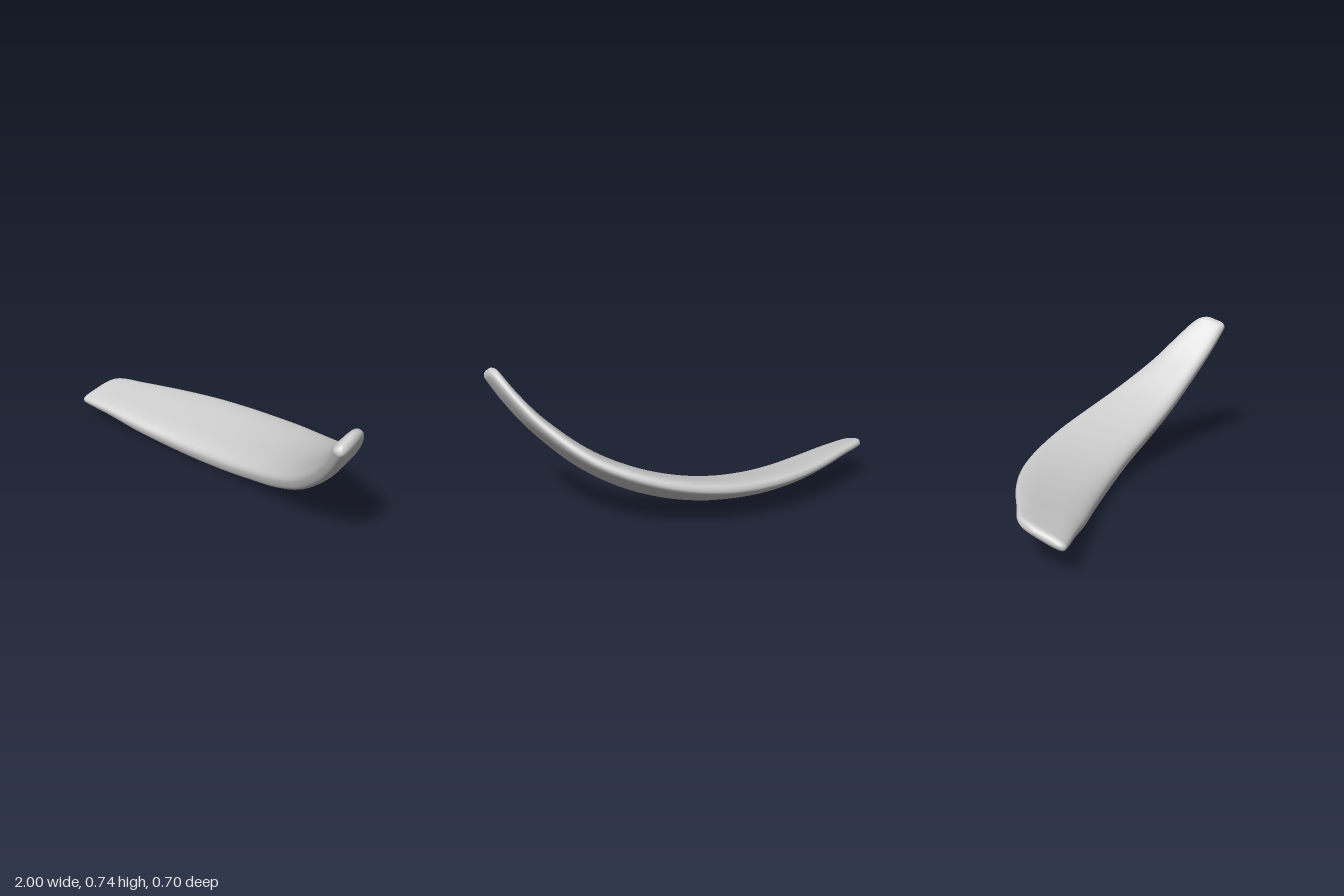
import * as THREE from 'three';

// Edge points [x, y, z] from the right tip to the left tip
const FRONT = [
  [-1, .135, .225], [-.97, .13, .223], [-.8, .107, .187], [-.6, .074, .147], [-.4, .05, .102], [-.2, .044, .07],
  [0, .06, .055], [.2, .1, .06], [.4, .168, .095], [.6, .28, .157], [.8, .455, .243], [.9, .57, .298],
  [.97, .67, .34], [.995, .71, .355],
];
const BACK = [
  [-.985, .192, .05], [-.94, .207, -.01], [-.8, .202, -.09], [-.6, .19, -.2], [-.4, .182, -.285], [-.2, .182, -.335],
  [0, .194, -.353], [.2, .225, -.336], [.4, .276, -.28], [.6, .358, -.182], [.8, .51, -.02], [.9, .627, .082],
  [.96, .715, .165], [.985, .757, .225],
];
// Half thickness along the front and back edges
const FRONT_HALF = [.023, .027, .042, .055, .066, .072, .072, .07, .066, .059, .049, .041, .035, .032];
const BACK_HALF = [.024, .024, .026, .03, .035, .039, .041, .041, .038, .034, .029, .026, .025, .024];

const curve = pts => new THREE.CatmullRomCurve3(pts.map(p => new THREE.Vector3(...p)));

function sample(list, u) {
  const f = u * (list.length - 1), i = Math.min(Math.floor(f), list.length - 2);
  return THREE.MathUtils.lerp(list[i], list[i + 1], f - i);
}

function bladeGeometry(rings = 120, sides = 48, round = .04) {
  const front = curve(FRONT), back = curve(BACK);
  const middle = u => front.getPoint(u).add(back.getPoint(u)).multiplyScalar(.5);
  const ends = [middle(0), middle(1)];
  const pos = [], index = [];
  for (let i = 0; i <= rings; i++) {
    // Rings crowd together at the tips
    const s = i / rings, u = THREE.MathUtils.lerp(s, (1 - Math.cos(Math.PI * s)) / 2, .9);
    const mid = middle(u);
    const chord = front.getPoint(u).sub(back.getPoint(u));
    const tangent = middle(Math.min(1, u + .01)).sub(middle(Math.max(0, u - .01)));
    const normal = chord.clone().cross(tangent).normalize();
    // Rounded tips
    const d = Math.min(1, Math.min(mid.distanceTo(ends[0]), mid.distanceTo(ends[1])) / round);
    const k = Math.sqrt(Math.max(0, 1 - (1 - d) ** 2));
    const half = chord.length() / 2 - round * (1 - k);
    chord.normalize();
    for (let j = 0; j < sides; j++) {
      // Rounded flat section, thicker along the front edge
      const a = j / sides * Math.PI * 2, c = Math.cos(a), n = Math.sin(a);
      const w = Math.sign(c) * Math.abs(c) ** .6, h = Math.sign(n) * Math.abs(n) ** .7;
      const t = THREE.MathUtils.lerp(sample(BACK_HALF, u), sample(FRONT_HALF, u), (w + 1) / 2);
      const p = mid.clone().addScaledVector(chord, w * half).addScaledVector(normal, h * t * k);
      pos.push(p.x, p.y, p.z);
      if (i < rings) {
        const q = i * sides + j, r = i * sides + (j + 1) % sides;
        index.push(q, q + sides, r, r, q + sides, r + sides);
      }
    }
  }
  const g = new THREE.BufferGeometry();
  g.setAttribute('position', new THREE.Float32BufferAttribute(pos, 3));
  g.setIndex(index);
  g.computeVertexNormals();
  return g;
}

export function createModel() {
  const group = new THREE.Group();
  group.name = 'curvedBlade';
  const blade = new THREE.Mesh(bladeGeometry(), new THREE.MeshStandardMaterial({ color: 0xcccccc }));
  blade.name = 'blade';
  group.add(blade);
  return group;
}
